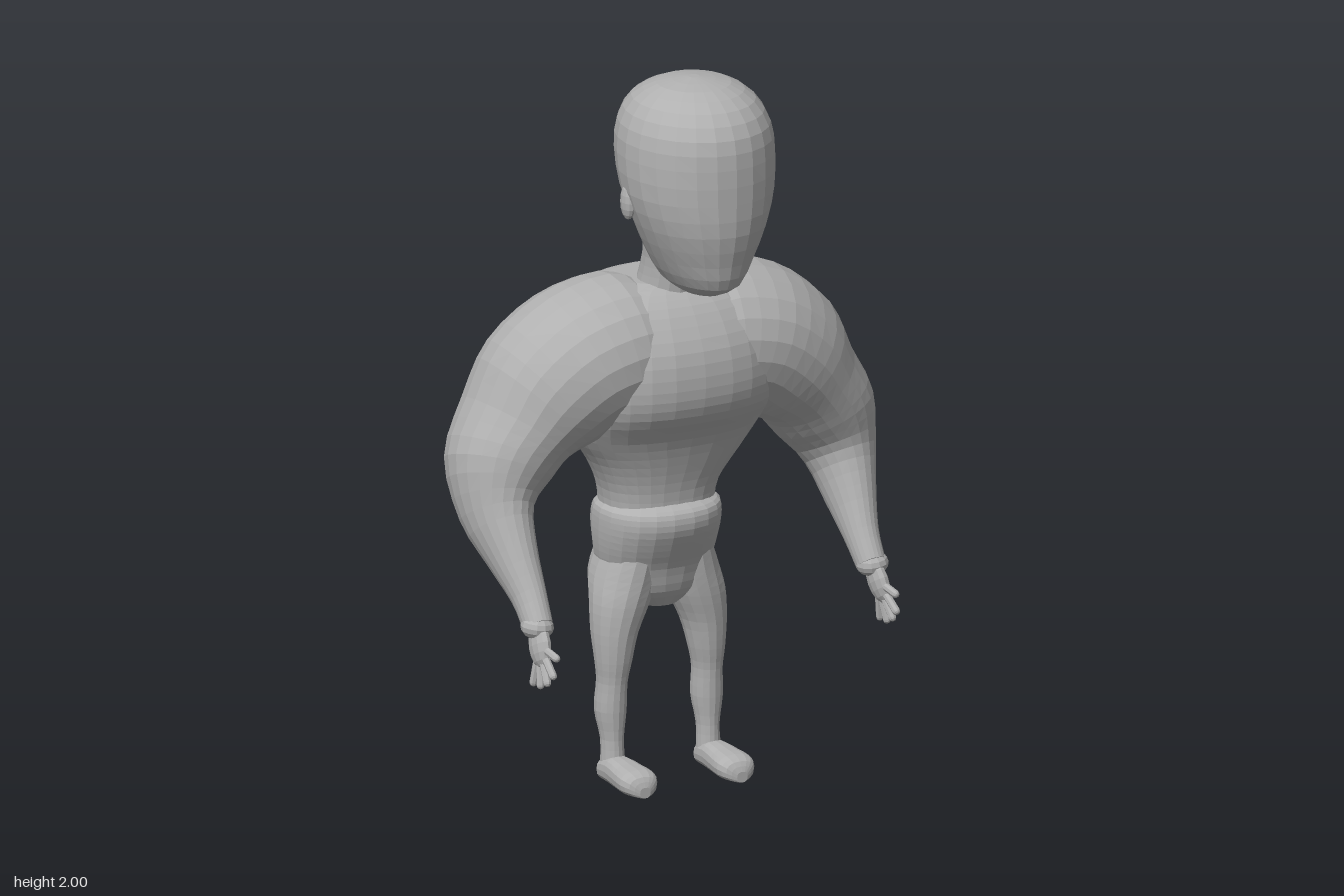
import * as THREE from 'three';

const skin = new THREE.MeshStandardMaterial({ color: 0xb0b0b0, flatShading: true });
skin.name = 'grey skin';

// Skin a closed tube over rings { c: centre, u, v: half axes }, smoothed along its length
function loft(name, rings, { sides = 22, steps = 3, power = 1 } = {}) {
  const curves = ['c', 'u', 'v'].map(k =>
    new THREE.CatmullRomCurve3(rings.map(r => new THREE.Vector3(...r[k])), false, 'catmullrom', 0.5));
  const n = (rings.length - 1) * steps;
  const pos = [], index = [];
  const soft = a => Math.sign(a) * Math.pow(Math.abs(a), power);
  for (let i = 0; i <= n; i++) {
    const [c, u, v] = curves.map(k => k.getPoint(i / n));
    for (let j = 0; j < sides; j++) {
      const t = (j / sides) * Math.PI * 2;
      const p = c.clone().addScaledVector(u, soft(Math.cos(t))).addScaledVector(v, soft(Math.sin(t)));
      pos.push(p.x, p.y, p.z);
    }
  }
  const [c0, c1] = [curves[0].getPoint(0), curves[0].getPoint(1)];
  pos.push(...c0.toArray(), ...c1.toArray());
  const mid = curves.map(k => k.getPoint(0.5));
  const along = curves[0].getPoint(0.51).sub(mid[0]);
  const flip = mid[1].clone().cross(mid[2]).dot(along) < 0;
  const tri = (a, b, c) => (flip ? index.push(a, c, b) : index.push(a, b, c));
  const last = n * sides, cap = last + sides;
  for (let j = 0; j < sides; j++) {
    const k = (j + 1) % sides;
    for (let i = 0; i < n; i++) {
      const a = i * sides + j, b = i * sides + k;
      tri(a, b, b + sides);
      tri(a, b + sides, a + sides);
    }
    tri(cap, k, j);
    tri(cap + 1, last + j, last + k);
  }
  const g = new THREE.BufferGeometry();
  g.setAttribute('position', new THREE.Float32BufferAttribute(pos, 3));
  g.setIndex(index);
  g.computeVertexNormals();
  const mesh = new THREE.Mesh(g, skin);
  mesh.name = name;
  return mesh;
}

// Horizontal ring: height, centre x, half width, front z, back z
const level = ([y, x, w, zf, zb]) => ({ c: [x, y, (zf + zb) / 2], u: [w, 0, 0], v: [0, 0, (zf - zb) / 2] });

function ball(name, at, scale) {
  const mesh = new THREE.Mesh(new THREE.SphereGeometry(1, 12, 8), skin);
  mesh.name = name;
  mesh.position.set(...at);
  mesh.scale.set(...scale);
  return mesh;
}

// Arm and hand; sway moves the hand back along z
function makeArm(side, sway) {
  const arm = new THREE.Group();
  arm.name = side > 0 ? 'leftArm' : 'rightArm';
  // x, y, z, half thickness seen from the front, half depth
  const path = [
    [0.04, 1.21, -0.10, 0.16, 0.18],
    [0.14, 1.215, -0.10, 0.205, 0.215],
    [0.26, 1.19, -0.10, 0.205, 0.22],
    [0.36, 1.12, -0.11, 0.195, 0.21],
    [0.44, 1.03, -0.11, 0.155, 0.19],
    [0.505, 0.93, -0.09, 0.14, 0.165],
    [0.535, 0.82, -0.04, 0.095, 0.12],
    [0.53, 0.72, 0.04, 0.067, 0.085],
    [0.525, 0.63, 0.12, 0.047, 0.056],
    [0.527, 0.56, 0.175, 0.04, 0.045],
  ].map(([x, y, z, a, b]) => [x * side, y, z - sway * THREE.MathUtils.clamp((1.1 - y) / 0.5, 0, 1), a, b]);
  const points = path.map(p => new THREE.Vector3(...p.slice(0, 3)));
  const rings = path.map(([, , , a, b], i) => {
    const dir = points[Math.min(i + 1, path.length - 1)].clone().sub(points[Math.max(i - 1, 0)]).normalize();
    const u = new THREE.Vector3(-dir.y, dir.x, 0).normalize();
    const v = dir.clone().cross(u);
    return { c: points[i].toArray(), u: u.multiplyScalar(a).toArray(), v: v.multiplyScalar(b).toArray() };
  });
  arm.add(loft('armMuscles', rings));

  // Hand built around the wrist, fingers fanned in the yz plane
  const hand = new THREE.Group();
  hand.name = 'hand';
  hand.position.set(0.53 * side, 0.56, 0.175 - sway);
  hand.rotation.z = 0.12 * side;
  hand.add(ball('cuff', [0, 0, 0], [0.045, 0.035, 0.047]));
  const palm = ball('palm', [0, -0.045, 0.025], [0.024, 0.062, 0.046]);
  palm.rotation.x = -0.5;
  hand.add(palm);
  [-0.12, 0.25, 0.6, 0.95, 1.45].forEach((angle, i) => {
    const thumb = i === 4;
    const length = thumb ? 0.05 : 0.062;
    const finger = new THREE.Mesh(new THREE.CapsuleGeometry(0.011, length, 3, 8), skin);
    finger.name = thumb ? 'thumb' : 'finger';
    const dir = new THREE.Vector3(0, -Math.cos(angle), Math.sin(angle));
    finger.quaternion.setFromUnitVectors(new THREE.Vector3(0, 1, 0), dir);
    finger.position.set(0, -0.045, 0.025).addScaledVector(dir, 0.045 + length / 2);
    hand.add(finger);
  });
  arm.add(hand);
  return arm;
}

function makeLeg(side) {
  const leg = new THREE.Group();
  leg.name = side > 0 ? 'leftLeg' : 'rightLeg';
  leg.position.x = -0.012;
  const x = v => v * side;
  leg.add(loft('legMuscles', [
    [0.64, x(0.08), 0.075, 0.00, -0.24],
    [0.57, x(0.095), 0.085, -0.005, -0.24],
    [0.50, x(0.115), 0.08, -0.01, -0.195],
    [0.42, x(0.135), 0.063, -0.02, -0.168],
    [0.34, x(0.142), 0.05, -0.03, -0.145],
    [0.28, x(0.145), 0.041, -0.04, -0.14],
    [0.20, x(0.147), 0.043, -0.045, -0.145],
    [0.12, x(0.146), 0.031, -0.05, -0.125],
    [0.04, x(0.146), 0.034, -0.045, -0.12],
  ].map(level), { sides: 16 }));
  // Foot rings run heel to toe: z, half width, height
  leg.add(loft('foot', [
    [-0.122, 0.018, 0.035], [-0.108, 0.034, 0.06], [-0.05, 0.042, 0.076], [0.01, 0.05, 0.072],
    [0.06, 0.055, 0.068], [0.09, 0.042, 0.056], [0.103, 0.016, 0.03],
  ].map(([z, w, h]) => ({ c: [x(0.148), h / 2 + 0.002, z], u: [w, 0, 0], v: [0, h / 2, 0] })),
  { sides: 16, steps: 2, power: 0.8 }));
  return leg;
}

export function createModel() {
  const model = new THREE.Group();
  model.name = 'muscularFigure';

  // Head with a narrow jaw and domed crown
  model.add(loft('head', [
    [1.415, 0, 0.05, 0.20, 0.02],
    [1.45, 0, 0.095, 0.268, -0.04],
    [1.52, 0, 0.135, 0.292, -0.07],
    [1.61, 0, 0.175, 0.315, -0.09],
    [1.70, 0, 0.203, 0.32, -0.125],
    [1.80, 0, 0.21, 0.32, -0.152],
    [1.88, 0, 0.20, 0.308, -0.147],
    [1.945, 0, 0.163, 0.262, -0.105],
    [1.985, 0, 0.10, 0.185, -0.025],
    [2.0, 0, 0.015, 0.095, 0.065],
  ].map(level), { sides: 24, steps: 2 }));
  for (const side of [-1, 1]) {
    const ear = ball(side > 0 ? 'leftEar' : 'rightEar', [0.19 * side, 1.67, 0.06], [0.018, 0.05, 0.03]);
    model.add(ear);
  }
  model.add(loft('neck', [
    [1.34, 0, 0.10, 0.03, -0.17], [1.42, 0, 0.085, 0.04, -0.14],
    [1.50, 0, 0.085, 0.05, -0.112], [1.60, 0, 0.11, 0.08, -0.088], [1.68, 0, 0.13, 0.1, -0.1],
  ].map(level), { sides: 18 }));

  // Chest and waist
  model.add(loft('torso', [
    [0.74, -0.015, 0.155, 0.02, -0.23],
    [0.82, -0.012, 0.168, 0.025, -0.23],
    [0.90, 0, 0.215, 0.045, -0.24],
    [0.98, 0, 0.27, 0.075, -0.255],
    [1.06, 0, 0.30, 0.13, -0.275],
    [1.14, 0, 0.31, 0.148, -0.295],
    [1.24, 0, 0.30, 0.135, -0.305],
    [1.33, 0, 0.27, 0.085, -0.295],
    [1.38, 0, 0.21, 0.035, -0.26],
    [1.40, 0, 0.12, 0.0, -0.21],
  ].map(level), { sides: 28, power: 0.85 }));

  // Belly fold, hips and seat
  model.add(loft('hips', [
    [0.48, -0.012, 0.05, -0.05, -0.15],
    [0.53, -0.012, 0.13, -0.015, -0.21],
    [0.60, -0.012, 0.16, 0.005, -0.25],
    [0.66, -0.015, 0.17, 0.035, -0.258],
    [0.72, -0.016, 0.174, 0.06, -0.265],
    [0.765, -0.015, 0.17, 0.055, -0.25],
    [0.785, -0.015, 0.14, 0.02, -0.22],
  ].map(level), { power: 0.9 }));

  // The left hand hangs a little further back than the right
  model.add(makeArm(1, 0.07), makeArm(-1, 0));
  model.add(makeLeg(1), makeLeg(-1));
  return model;
}
